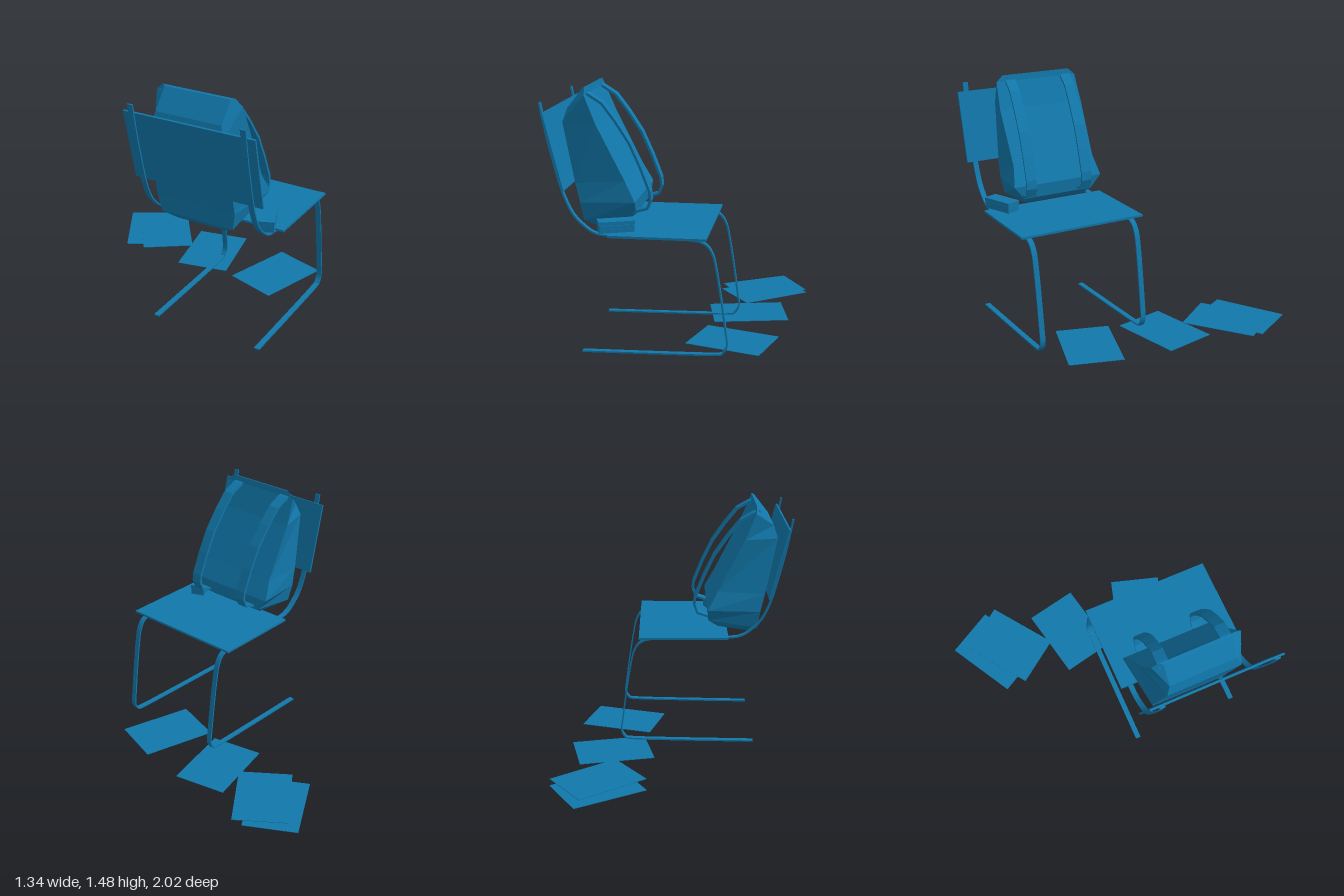
import * as THREE from 'three';

const blue = { color: 0x1177aa, side: THREE.DoubleSide };
const smooth = new THREE.MeshStandardMaterial(blue);
const faceted = new THREE.MeshStandardMaterial({ ...blue, flatShading: true });

function add(parent, name, geometry, material = faceted) {
  const mesh = new THREE.Mesh(geometry, material);
  mesh.name = name;
  parent.add(mesh);
  return mesh;
}

// Flat band: a side profile given a thickness, then extruded to a width centred on z = 0
function band(points, thickness, width) {
  const left = [], right = [];
  points.forEach((p, i) => {
    const before = points[Math.max(i - 1, 0)];
    const after = points[Math.min(i + 1, points.length - 1)];
    const t = after.clone().sub(before).normalize().multiplyScalar(thickness / 2);
    left.push(new THREE.Vector2(p.x - t.y, p.y + t.x));
    right.unshift(new THREE.Vector2(p.x + t.y, p.y - t.x));
  });
  const shape = new THREE.Shape([...left, ...right]);
  return new THREE.ExtrudeGeometry(shape, { depth: width, bevelEnabled: false })
    .translate(0, 0, -width / 2);
}

const vectors = (list) => list.map(([x, y]) => new THREE.Vector2(x, y));

// Backpack body lofted through four-cornered rows, top to bottom.
// Row: back x, back y, back half width, front x, front y, front half width
function packGeometry() {
  const rows = [
    [-0.445, 1.478, 0.2, -0.43, 1.482, 0.22],
    [-0.535, 1.365, 0.2, -0.425, 1.445, 0.262],
    [-0.56, 1.29, 0.22, -0.362, 1.29, 0.272],
    [-0.49, 0.95, 0.242, -0.205, 0.975, 0.266],
    [-0.465, 0.84, 0.245, -0.145, 0.86, 0.29],
    [-0.45, 0.735, 0.225, -0.152, 0.78, 0.225],
    [-0.405, 0.692, 0.156, -0.21, 0.735, 0.19],
  ];
  const position = [], index = [];
  rows.forEach(([bx, by, bh, fx, fy, fh]) => {
    position.push(bx, by, -bh, bx, by, bh, fx, fy, fh, fx, fy, -fh);
  });
  for (let r = 0; r < rows.length - 1; r++) {
    for (let k = 0; k < 4; k++) {
      const a = r * 4 + k, b = r * 4 + (k + 1) % 4;
      index.push(a, a + 4, b, b, a + 4, b + 4);
    }
  }
  const n = (rows.length - 1) * 4;
  index.push(0, 1, 2, 0, 2, 3, n, n + 2, n + 1, n, n + 3, n + 2);
  const geometry = new THREE.BufferGeometry();
  geometry.setAttribute('position', new THREE.Float32BufferAttribute(position, 3));
  geometry.setIndex(index);
  geometry.computeVertexNormals();
  return geometry;
}

function buildChair() {
  const chair = new THREE.Group();
  chair.name = 'chair';

  // Cantilever bars: foot, front leg, seat rail and back upright in one bend
  const path = vectors([
    [-0.436, 0.015], [0.05, 0.024], [0.315, 0.032], [0.36, 0.046], [0.381, 0.09],
    [0.374, 0.16], [0.351, 0.33], [0.321, 0.52], [0.297, 0.615], [0.25, 0.67],
    [0.147, 0.688], [-0.1, 0.691], [-0.29, 0.696], [-0.35, 0.708], [-0.398, 0.737],
    [-0.465, 0.804], [-0.511, 0.894], [-0.545, 1.0], [-0.601, 1.227], [-0.638, 1.42],
  ]);
  const curve = new THREE.SplineCurve(path);
  for (const side of [-1, 1]) {
    add(chair, side < 0 ? 'rightFrameBar' : 'leftFrameBar',
      band(curve.getPoints(90), 0.009, 0.032), smooth).position.z = side * 0.335;
  }

  add(chair, 'seat', new THREE.BoxGeometry(0.54, 0.013, 0.79)).position.y = 0.702;
  const backrest = add(chair, 'backrest', new THREE.BoxGeometry(0.012, 0.435, 0.79));
  backrest.position.set(-0.563, 1.158, 0);
  backrest.rotation.z = Math.atan2(0.105, 0.425);
  return chair;
}

function buildBackpack() {
  const pack = new THREE.Group();
  pack.name = 'backpack';
  add(pack, 'packBody', packGeometry());

  // Shoulder straps, drifting sideways toward their lower ends
  const path = vectors([
    [-0.45, 1.455], [-0.41, 1.437], [-0.34, 1.395], [-0.265, 1.3], [-0.185, 1.18],
    [-0.125, 1.05], [-0.072, 0.914], [-0.067, 0.865], [-0.086, 0.815], [-0.17, 0.79],
  ]);
  for (const side of [-1, 1]) {
    const strap = band(path, 0.014, 0.065);
    const p = strap.attributes.position;
    for (let i = 0; i < p.count; i++) p.setZ(i, p.getZ(i) + (p.getX(i) + 0.4) * 0.12);
    strap.computeVertexNormals();
    add(pack, side < 0 ? 'rightStrap' : 'leftStrap', strap).position.z = side * 0.183 - 0.008;
  }
  pack.position.z = -0.045;
  return pack;
}

export function createModel() {
  const model = new THREE.Group();
  model.name = 'chairWithBackpack';

  // Chair and backpack share one turned frame
  const turned = new THREE.Group();
  turned.name = 'chairAndBackpack';
  turned.position.set(0.065, 0, 0.335);
  turned.rotation.y = Math.PI / 6;
  turned.add(buildChair(), buildBackpack());
  model.add(turned);

  // Small lidded case on the seat corner
  const box = new THREE.Group();
  box.name = 'smallCase';
  box.position.set(-0.003, 0.708, 0.707);
  box.rotation.y = 0.9;
  add(box, 'caseBase', new THREE.BoxGeometry(0.194, 0.042, 0.085)).position.y = 0.021;
  add(box, 'caseLid', new THREE.BoxGeometry(0.2, 0.02, 0.09)).position.y = 0.054;
  model.add(box);

  // Loose sheets on the floor: x, y, z, turn in degrees
  const sheets = [
    [0.411, 0.002, 0.174, 13], [0.21, 0.002, -0.275, 41.8],
    [0.008, 0.002, -0.75, 59.6], [0.0625, 0.008, -0.665, 65.8],
  ];
  sheets.forEach(([x, y, z, turn], i) => {
    const sheet = add(model, `paperSheet${i + 1}`, new THREE.BoxGeometry(0.455, 0.003, 0.325));
    sheet.position.set(x, y, z);
    sheet.rotation.y = THREE.MathUtils.degToRad(turn);
  });
  return model;
}
